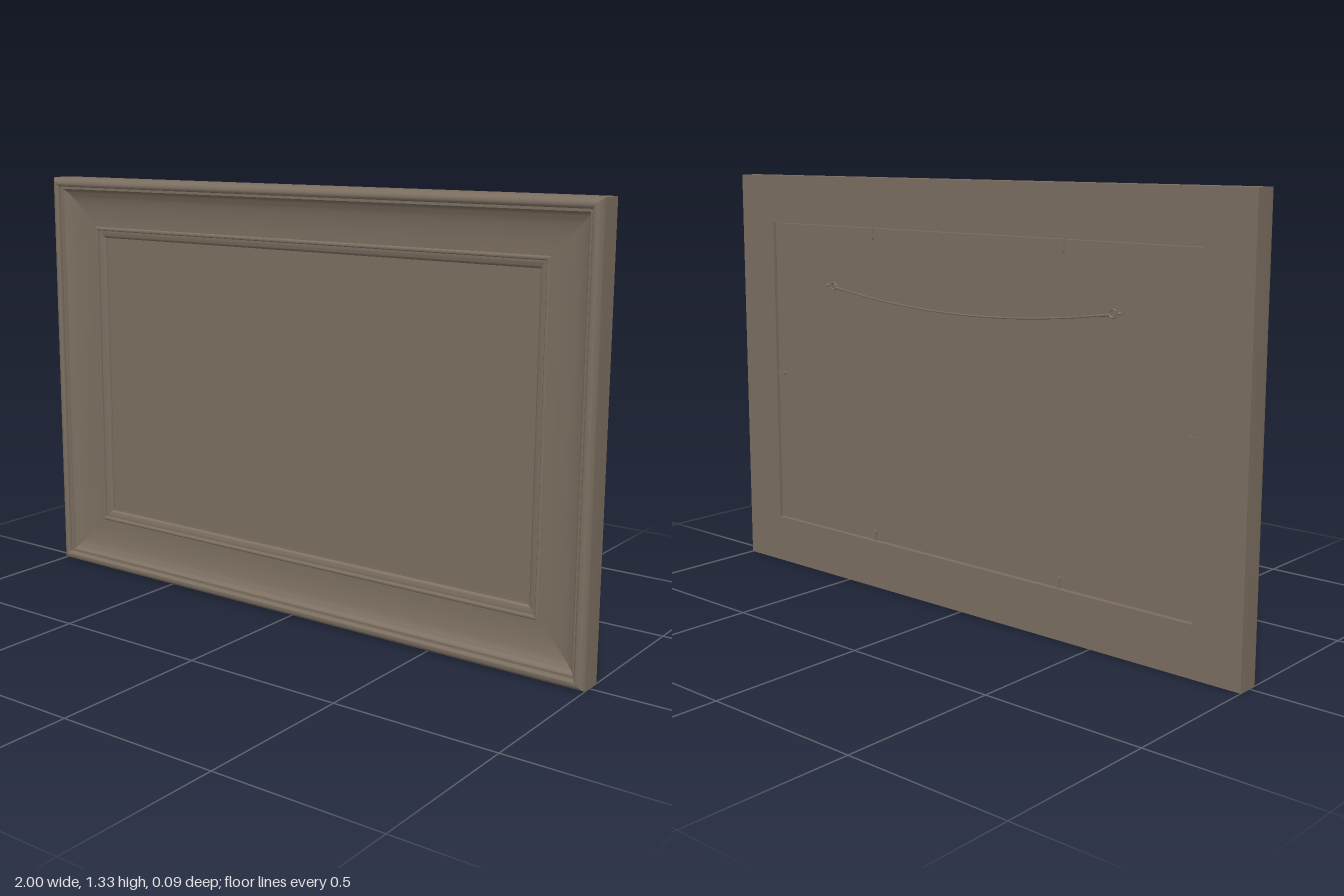
import * as THREE from 'three';
import { toCreasedNormals } from 'three/addons/utils/BufferGeometryUtils.js';

const W = 2, H = 1.33, BACK = -0.044, PANEL_BACK = -0.035;

// Points of a quarter curve in (inset, z)
function arc(cx, cz, rx, rz, a0, a1, n) {
  return Array.from({ length: n + 1 }, (_, i) => {
    const a = a0 + (a1 - a0) * i / n;
    return [cx + rx * Math.cos(a), cz + rz * Math.sin(a)];
  });
}

// Moulding cross-section: [distance in from outer edge, z]
const PI = Math.PI;
const profile = [
  [0, BACK],
  ...arc(0.02, 0.022, 0.02, 0.022, PI, PI / 2, 6),          // rounded outer rim
  ...arc(0.02, 0.036, 0.01, 0.008, PI / 2, 0, 4),
  [0.03, 0.031], [0.036, 0.031],                            // step below the rim
  ...arc(0.15, 0.031, 0.112, 0.031, PI, PI * 1.5, 10),      // cove
  [0.16, 0],
  ...arc(0.166, 0, 0.006, 0.006, PI, 0, 6),                 // bead
  [0.172, -0.003], [0.176, -0.003],
  ...arc(0.176, -0.012, 0.02, 0.009, PI / 2, 0, 5),         // inner lip
  [0.2, -0.012], [0.2, -0.0145],
  [0.155, -0.0145], [0.155, BACK],                          // rebate for the panel
];

// One mitred rail between two corners given as sign pairs
function railGeometry([ax, ay], [bx, by]) {
  const at = (sx, sy, [d, z]) => [sx * (W / 2 - d), H / 2 + sy * (H / 2 - d), z];
  const pos = [];
  profile.forEach((p, i) => {
    const q = profile[(i + 1) % profile.length];
    if (Math.hypot(p[0] - q[0], p[1] - q[1]) < 1e-6) return;
    const a = at(ax, ay, p), b = at(bx, by, p), c = at(bx, by, q), d = at(ax, ay, q);
    pos.push(...a, ...b, ...c, ...a, ...c, ...d);
  });
  const g = new THREE.BufferGeometry();
  g.setAttribute('position', new THREE.Float32BufferAttribute(pos, 3));
  return toCreasedNormals(g, 0.6);
}

export function createModel() {
  const model = new THREE.Group();
  model.name = 'pictureFrame';
  const wood = new THREE.MeshStandardMaterial({ color: 0x7a6d5f });
  wood.name = 'taupe';

  const add = (parent, name, geometry, x = 0, y = 0, z = 0) => {
    const m = new THREE.Mesh(geometry, wood);
    m.name = name;
    m.position.set(x, y, z);
    parent.add(m);
    return m;
  };

  // Four mitred rails
  const corners = [[-1, -1], [1, -1], [1, 1], [-1, 1]];
  ['bottomRail', 'leftRail', 'topRail', 'rightRail'].forEach((name, i) =>
    add(model, name, railGeometry(corners[i], corners[(i + 1) % 4])));

  // Picture panel in the rebate
  const front = -0.0142;
  add(model, 'panel', new THREE.BoxGeometry(W - 0.316, H - 0.316, front - PANEL_BACK),
    0, H / 2, (front + PANEL_BACK) / 2);

  // Turn buttons holding the panel in: [x, y, rotation]
  const clips = [
    [0.38, 1.16, 0], [-0.38, 1.16, 0], [0.38, 0.17, PI], [-0.38, 0.17, PI],
    [0.83, H / 2, -PI / 2], [-0.83, H / 2, PI / 2],
  ];
  for (const [x, y, turn] of clips) {
    const clip = new THREE.Group();
    clip.name = 'clip';
    clip.position.set(x, y, PANEL_BACK - 0.003);
    clip.rotation.z = turn;
    add(clip, 'clipArm', new THREE.BoxGeometry(0.011, 0.034, 0.005), 0, -0.004, 0);
    add(clip, 'clipScrew', new THREE.CylinderGeometry(0.008, 0.008, 0.006, 12), 0, -0.016, -0.002)
      .rotation.x = PI / 2;
    model.add(clip);
  }

  // Hanging hardware at each end of the wire
  const hx = 0.57, hy = 0.98, wz = PANEL_BACK - 0.004;
  for (const s of [-1, 1]) {
    const hanger = new THREE.Group();
    hanger.name = s > 0 ? 'leftHanger' : 'rightHanger';
    hanger.position.set(s * hx, hy, wz);
    add(hanger, 'hangerPlate', new THREE.BoxGeometry(0.026, 0.015, 0.006), s * 0.01, 0, 0.001);
    add(hanger, 'hangerScrew', new THREE.SphereGeometry(0.005, 10, 8), s * 0.013, 0, -0.003);
    add(hanger, 'hangerRing', new THREE.TorusGeometry(0.012, 0.0025, 8, 20), -s * 0.012, -0.002, 0);
    add(hanger, 'wireKnot', new THREE.CylinderGeometry(0.004, 0.004, 0.035, 8), -s * 0.04, -0.009, 0)
      .rotation.z = PI / 2 + s * 0.15;
    model.add(hanger);
  }

  // Slack wire
  const wire = new THREE.QuadraticBezierCurve3(
    new THREE.Vector3(-hx + 0.022, hy - 0.005, wz),
    new THREE.Vector3(0, hy - 0.095, wz),
    new THREE.Vector3(hx - 0.022, hy - 0.005, wz));
  add(model, 'wire', new THREE.TubeGeometry(wire, 40, 0.0028, 8));

  return model;
}
